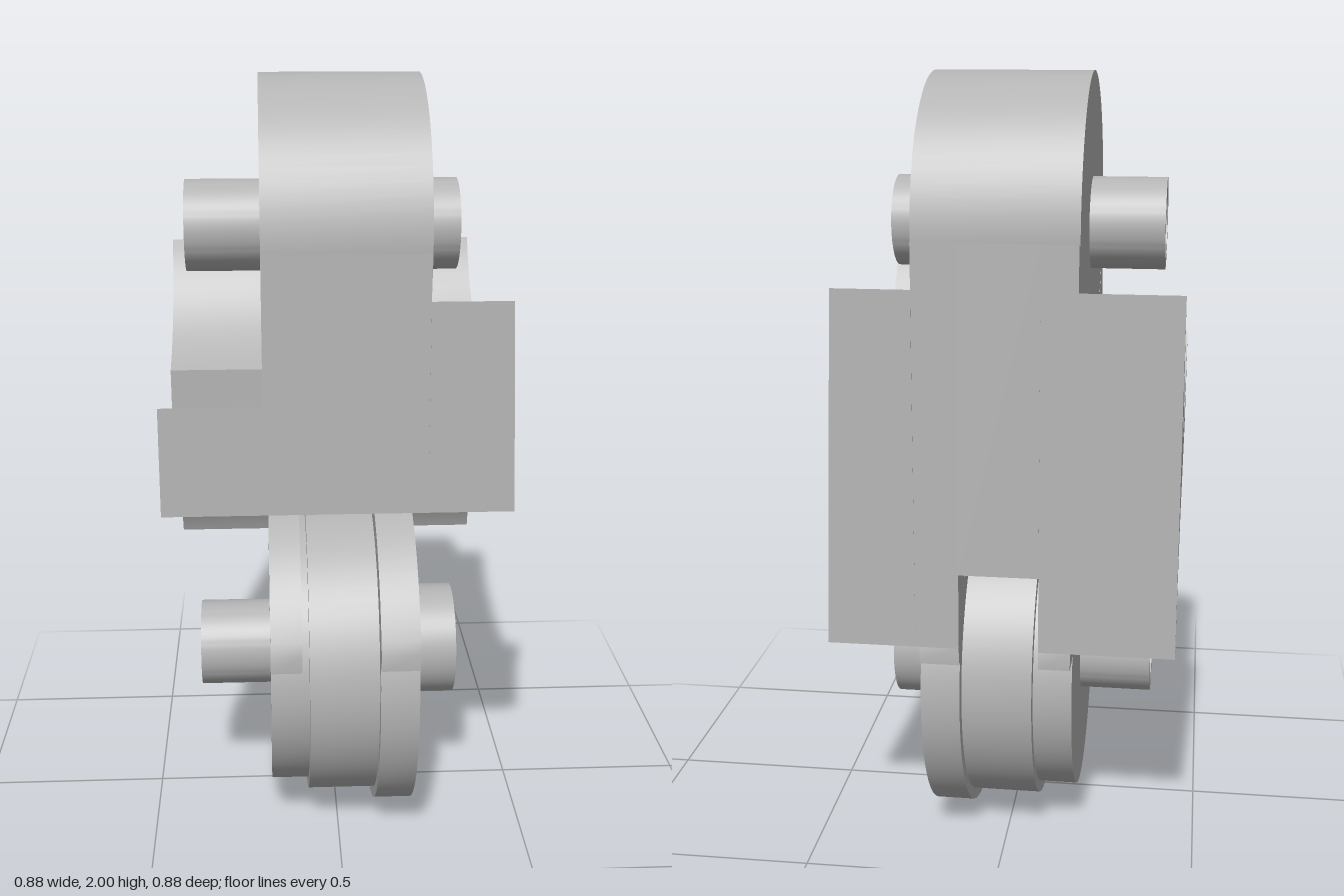
import * as THREE from 'three';
import { toCreasedNormals } from 'three/addons/utils/BufferGeometryUtils.js';

const UP = 1.62, LOW = 0.44; // heights of the two wheel axes

export function createModel() {
  const group = new THREE.Group();
  const grey = new THREE.MeshStandardMaterial({ color: 0xb4b4b4 });
  grey.name = 'plain grey';

  const add = (name, geometry) => {
    const mesh = new THREE.Mesh(toCreasedNormals(geometry, 0.5), grey);
    mesh.name = name;
    group.add(mesh);
    return mesh;
  };

  // Points on an arc about (0, cy), from u0 to u1, where u = -z
  const arc = (cy, r, u0, u1, sign, n = 32) => {
    const pts = [];
    const a0 = Math.asin(u0 / r), a1 = Math.asin(u1 / r);
    for (let i = 0; i <= n; i++) {
      const a = a0 + (a1 - a0) * i / n;
      pts.push([r * Math.sin(a), cy + sign * r * Math.cos(a)]);
    }
    return pts;
  };

  // Extrude a side profile (u, y) across x0..x1
  const slab = (pts, x0, x1) => {
    const shape = new THREE.Shape(pts.map(([u, y]) => new THREE.Vector2(u, y)));
    const g = new THREE.ExtrudeGeometry(shape, { depth: x1 - x0, bevelEnabled: false });
    return g.translate(0, 0, x0).rotateY(Math.PI / 2);
  };

  // Turn a profile (radius, x) about a horizontal axis
  const turned = (pts, y) => new THREE.LatheGeometry(
    pts.map(([r, x]) => new THREE.Vector2(r, x)), 72).rotateZ(-Math.PI / 2).translate(0, y, 0);

  // Underside and upper saddles of the block
  const bottom = [[-0.43, 0.985], ...arc(LOW, 0.47, 0, 0.44, 1)];
  const groovedBottom = [[-0.43, 0.985], ...arc(LOW, 0.51, -0.14, 0.36, 1), [0.435, 0.8]];
  const wideSaddle = arc(UP, 0.43, 0.415, -0.415, -1);
  const steppedSaddle = [
    ...arc(UP, 0.43, 0.415, 0.11, -1, 16),
    ...arc(UP, 0.555, 0.11, -0.42, -1, 24),
  ];
  const housing = [[0.41, UP], ...arc(UP, 0.385, 0.3849, -0.3849, -1, 48), [-0.41, UP]];

  // Block, in slabs across its width
  add('blockLeftWing', slab([...bottom, ...steppedSaddle], -0.44, -0.19));
  add('housingSide', slab([...bottom, ...housing], -0.19, -0.1));
  add('housingMiddle', slab([...groovedBottom, ...housing], -0.1, 0.1));
  add('housingSide', slab([...bottom, ...housing], 0.1, 0.21));
  const wing = slab([...bottom, ...wideSaddle], 0.21, 0.43);
  const p = wing.attributes.position;
  for (let i = 0; i < p.count; i++) { // slanted outer face
    if (p.getX(i) > 0.4) p.setX(i, 0.435 - 0.033 * (p.getY(i) - 0.61));
  }
  add('blockRightWing', wing);

  // Guard arms over the lower wheel
  const arm = (inner, x0, x1) => add('guardArm', slab([
    [-0.44, 0.56], ...arc(LOW, 0.47, -0.44, 0.44, 1), [0.44, 0.56],
    ...arc(LOW, inner, Math.sqrt(inner * inner - 0.0144), -Math.sqrt(inner * inner - 0.0144), 1),
  ], x0, x1));
  arm(0.39, -0.18, -0.1);
  arm(0.42, 0.1, 0.2);

  // Upper wheel with its hollow axle
  add('upperWheel', turned([
    [0, 0.3], [0.087, 0.3], [0.087, -0.38], [0.117, -0.38], [0.117, -0.19], [0.38, -0.19],
    [0.38, 0.215], [0.117, 0.215], [0.117, 0.315], [0, 0.315],
  ], UP));

  // Lower stepped wheel with its hollow axle
  add('lowerWheel', turned([
    [0, 0.315], [0.087, 0.315], [0.087, -0.37], [0.117, -0.37], [0.117, -0.18], [0.38, -0.18],
    [0.38, -0.08], [0.41, -0.08], [0.41, 0.1], [0.44, 0.1],
    [0.44, 0.2], [0.152, 0.2], [0.152, 0.33], [0, 0.33],
  ], LOW));

  // Narrow ribs on the wheel faces
  const rib = (name, x, y0, y1, z, width) => add(name,
    new THREE.BoxGeometry(0.008, y1 - y0, width).translate(x, (y0 + y1) / 2, z));
  rib('upperRib', 0.215, 1.24, 1.62, -0.177, 0.008);
  rib('lowerRib', 0.2, 0.44, 0.87, -0.175, 0.035);

  return group;
}
